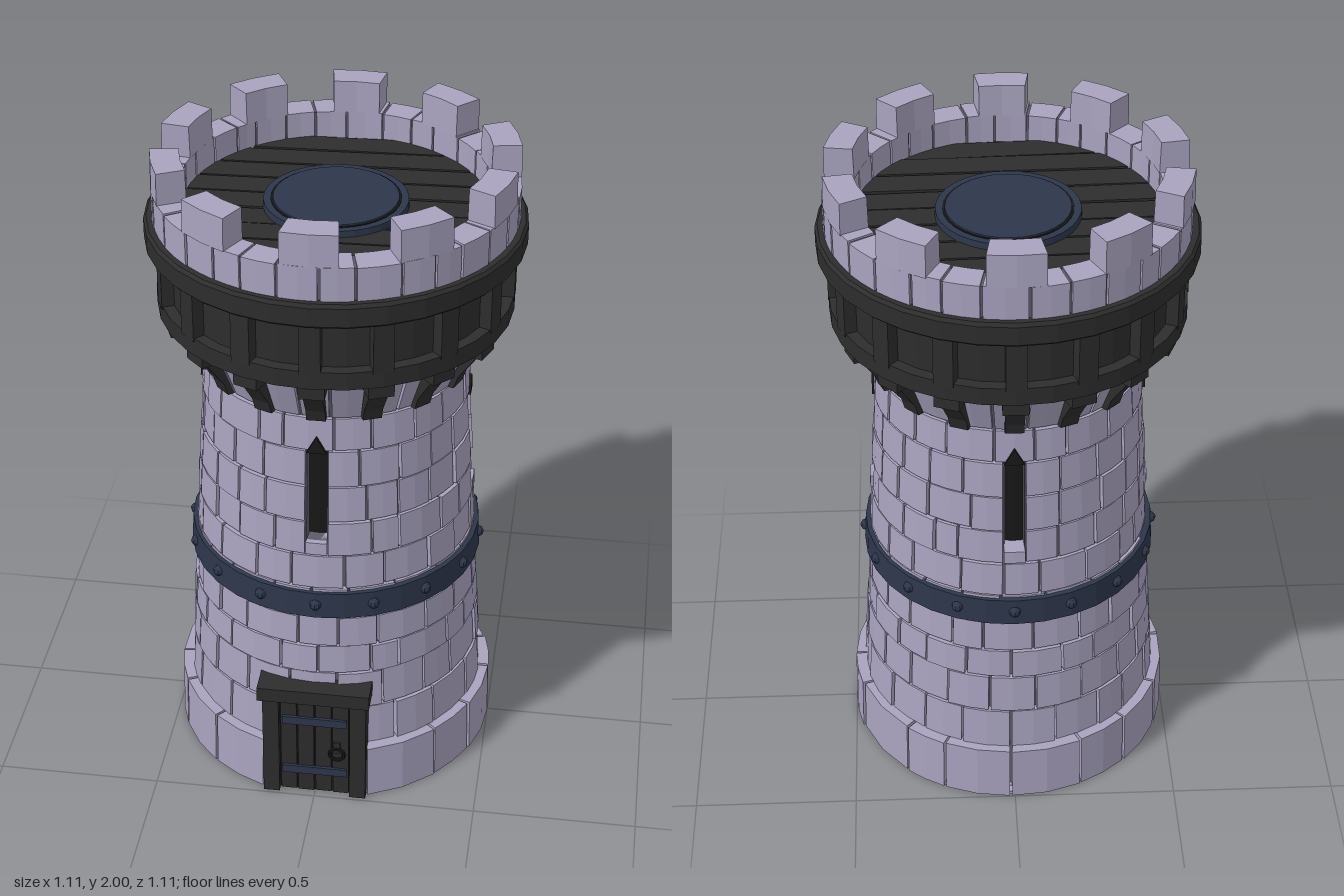
import * as THREE from 'three';
import { mergeGeometries } from 'three/addons/utils/BufferGeometryUtils.js';

const mat = (name, color) => {
  const m = new THREE.MeshStandardMaterial({ color, flatShading: true });
  m.name = name;
  return m;
};

export function createModel() {
  const stone = mat('stone', 0xa9a3bf);
  const mortar = mat('mortar', 0x5d5a6a);
  const wood = mat('dark wood', 0x2d2d2d);
  const gap = mat('plank gap', 0x181818);
  const iron = mat('blue iron', 0x2d364b);

  const tower = new THREE.Group();
  tower.name = 'tower';
  let seed = 7;
  const rand = () => (seed = (seed * 16807) % 2147483647) / 2147483647;
  const jitter = (s) => (rand() - 0.5) * 2 * s;

  const add = (name, geo, material, parent = tower) => {
    const mesh = new THREE.Mesh(geo, material);
    mesh.name = name;
    parent.add(mesh);
    return mesh;
  };
  const merged = (name, list, material) => add(name, mergeGeometries(list), material);
  const box = (w, h, d, x, y, z) => new THREE.BoxGeometry(w, h, d).translate(x, y, z);
  const disc = (r0, r1, y0, y1, n = 32) =>
    new THREE.CylinderGeometry(r1, r0, y1 - y0, n).translate(0, (y0 + y1) / 2, 0);

  // Curved block: a box bent round the y axis (angle 0 faces +z)
  const block = (a0, a1, y0, y1, rOut0, rOut1, rIn0, rIn1 = rIn0, segs = 2) => {
    const g = new THREE.BoxGeometry(1, 1, 1, segs, 1, 1);
    const p = g.attributes.position;
    for (let i = 0; i < p.count; i++) {
      const a = a0 + (p.getX(i) + 0.5) * (a1 - a0);
      const top = p.getY(i) > 0;
      const r = p.getZ(i) > 0 ? (top ? rOut1 : rOut0) : (top ? rIn1 : rIn0);
      p.setXYZ(i, r * Math.sin(a), top ? y1 : y0, r * Math.cos(a));
    }
    const flat = g.toNonIndexed();
    flat.computeVertexNormals();
    return flat;
  };

  // Split an arc into uneven blocks separated by thin joints
  const course = (list, from, to, n, y0, y1, r0, r1, depth, bump = 0.004) => {
    const step = (to - from) / n;
    const cuts = [from];
    for (let i = 1; i < n; i++) cuts.push(from + step * i + jitter(step * 0.2));
    cuts.push(to);
    for (let i = 0; i < n; i++) {
      const d = jitter(bump), j = 0.004 / r0;
      list.push(block(cuts[i] + j, cuts[i + 1] - j, y0 + 0.003, y1 - 0.003 + jitter(0.002),
        r0 + d, r1 + d, r0 - depth, r1 - depth));
    }
  };
  const TAU = Math.PI * 2;
  const radius = (y) => 0.463 - (y - 0.18) * 0.057;

  // Mortar core, left open behind the arrow slits
  const slit = 0.075, slitY0 = 0.92, slitY1 = 1.23;
  const core = (y) => radius(y) - 0.012;
  const coreParts = [disc(0.45, core(slitY0), 0.01, slitY0, 48).toNonIndexed(),
    disc(core(slitY1), core(1.34), slitY1, 1.34, 48).toNonIndexed(),
    disc(core(1.34), 0.45, 1.34, 1.53, 48).toNonIndexed()];
  for (let q = 0; q < 4; q++) {
    const a = q * TAU / 4;
    coreParts.push(block(a + slit, a + TAU / 4 - slit, slitY0, slitY1,
      core(slitY0), core(slitY1), 0.33, 0.33, 12));
  }
  merged('mortarCore', coreParts, mortar);
  add('slitDarkness', disc(0.37, 0.36, 0.9, 1.25), gap);

  // Wall bricks
  const rows = [0.18, 0.32, 0.45, 0.55, 0.655, 0.76, 0.875, 0.99, 1.11, 1.23, 1.34];
  const bricks = [];
  for (let i = 0; i + 1 < rows.length; i++) {
    const y0 = rows[i], y1 = rows[i + 1];
    if (y0 >= 0.87 && y1 <= slitY1) {
      for (let q = 0; q < 4; q++) {
        const a = q * TAU / 4;
        course(bricks, a + slit, a + TAU / 4 - slit, 5, y0, y1, radius(y0), radius(y1), 0.05);
      }
    } else {
      const start = (i % 2) * 0.16 + jitter(0.05);
      course(bricks, start, start + TAU, 20, y0, y1, radius(y0), radius(y1), 0.05);
    }
  }
  course(bricks, 0.1, 0.1 + TAU, 24, 1.34, 1.52, 0.395, 0.462, 0.05, 0.002);
  merged('wallBricks', bricks, stone);

  // Arrow slits: sill and pointed head
  const headShape = new THREE.Shape([[-0.03, 0], [0.03, 0], [0, 0.055]].map((v) => new THREE.Vector2(...v)));
  for (let q = 0; q < 4; q++) {
    const arrowSlit = new THREE.Group();
    arrowSlit.name = 'arrowSlit';
    arrowSlit.rotation.y = q * TAU / 4;
    tower.add(arrowSlit);
    add('slitSill', block(-slit, slit, 0.88, slitY0, 0.428, 0.426, 0.36), stone, arrowSlit);
    const head = new THREE.ExtrudeGeometry(headShape, { depth: 0.009, bevelEnabled: false });
    add('slitHead', head.translate(0, slitY1 - 0.004, radius(slitY1) - 0.002), gap, arrowSlit);
  }

  // Base stones, broken by the doorway
  const base = [];
  course(base, 0.33, TAU - 0.33, 14, -0.003, 0.185, 0.498, 0.494, 0.06, 0.003);
  merged('baseStones', base, stone);
  add('footing', disc(0.465, 0.465, 0, 0.012), stone);
  add('footingEdge', block(0.33, TAU - 0.33, 0, 0.01, 0.492, 0.492, 0.4, 0.4, 32), stone);

  // Door
  const frame = [box(0.05, 0.37, 0.1, -0.135, 0.185, 0.44), box(0.05, 0.37, 0.1, 0.135, 0.185, 0.44),
    box(0.345, 0.048, 0.1, -0.002, 0.389, 0.45)];
  merged('doorFrame', frame, wood);
  add('doorBacking', box(0.23, 0.37, 0.04, 0, 0.185, 0.447), gap);
  const planks = [];
  for (let i = 0; i < 4; i++) planks.push(box(0.049, 0.35, 0.02, -0.081 + i * 0.054, 0.18, 0.466 + (i % 2) * 0.002));
  merged('doorPlanks', planks, wood);
  merged('doorStraps', [0.09, 0.285].map((y) => box(0.2, 0.028, 0.009, 0, y, 0.481)), iron);
  add('doorHandle', new THREE.TorusGeometry(0.022, 0.006, 6, 12).translate(0.07, 0.165, 0.484), gap);
  add('doorHandlePlate', box(0.02, 0.04, 0.009, 0.07, 0.19, 0.481), wood);

  // Iron band with rivets
  add('ironBand', block(0, TAU, 0.665, 0.75, 0.451, 0.446, 0.41, 0.41, 32), iron);
  const rivets = [], struts = [], heads = [], posts = [];
  // Corbel strut profile: x is the radius, y is the height
  const strut = new THREE.Shape([[0.37, 1.34], [0.412, 1.34], [0.425, 1.38], [0.487, 1.47], [0.487, 1.5], [0.42, 1.5]]
    .map((v) => new THREE.Vector2(...v)));
  for (let i = 0; i < 16; i++) {
    const a = i * TAU / 16;
    rivets.push(new THREE.SphereGeometry(0.018, 8, 6).translate(0, 0.71, 0.446).rotateY(a));
    struts.push(new THREE.ExtrudeGeometry(strut, { depth: 0.056, bevelEnabled: false })
      .translate(0, 0, -0.028).rotateY(-Math.PI / 2 + a));
    heads.push(box(0.076, 0.055, 0.1, 0, 1.495, 0.455).rotateY(a));
    posts.push(box(0.06, 0.17, 0.06, 0, 1.645, 0.496).rotateY(a));
  }
  merged('bandRivets', rivets, iron);
  merged('corbelStruts', struts, wood);
  merged('corbelHeads', heads, wood);
  merged('galleryPosts', posts, wood);

  // Timber gallery
  add('galleryLowerRing', disc(0.526, 0.526, 1.515, 1.57), wood);
  add('galleryWall', disc(0.492, 0.492, 1.57, 1.73), wood);
  const ringProfile = [[0.44, 1.725], [0.548, 1.725], [0.556, 1.733], [0.556, 1.79], [0.548, 1.8], [0.44, 1.8]];
  add('galleryUpperRing', new THREE.LatheGeometry(ringProfile.map((v) => new THREE.Vector2(...v)), 32), wood);

  // Parapet and merlons
  const parapet = [];
  course(parapet, 0.05, 0.05 + TAU, 30, 1.79, 1.905, 0.53, 0.53, 0.085, 0.002);
  merged('parapet', parapet, stone);
  add('parapetMortar', block(0, TAU, 1.8, 1.897, 0.523, 0.523, 0.452, 0.452, 48), mortar);
  const merlons = [];
  for (let i = 0; i < 10; i++) {
    const a = i * TAU / 10;
    merlons.push(block(a - 0.155, a + 0.155, 1.9, 2, 0.532, 0.53, 0.444, 0.446));
  }
  merged('merlons', merlons, stone);

  // Planked roof deck
  add('deckGap', disc(0.46, 0.46, 1.79, 1.812), gap);
  const deck = [];
  for (let i = -4; i <= 4; i++) {
    const z = i * 0.096;
    const len = 2 * Math.sqrt(0.48 * 0.48 - z * z);
    deck.push(box(len, 0.02, 0.088, 0, 1.812 + jitter(0.002), z).rotateY(0.035 + jitter(0.01)));
  }
  merged('deckPlanks', deck, wood);

  // Roof hatch
  add('hatchRim', disc(0.212, 0.21, 1.81, 1.842), iron);
  add('hatchGroove', disc(0.189, 0.189, 1.84, 1.844), gap);
  add('hatchLid', disc(0.184, 0.182, 1.84, 1.848), iron);
  return tower;
}
